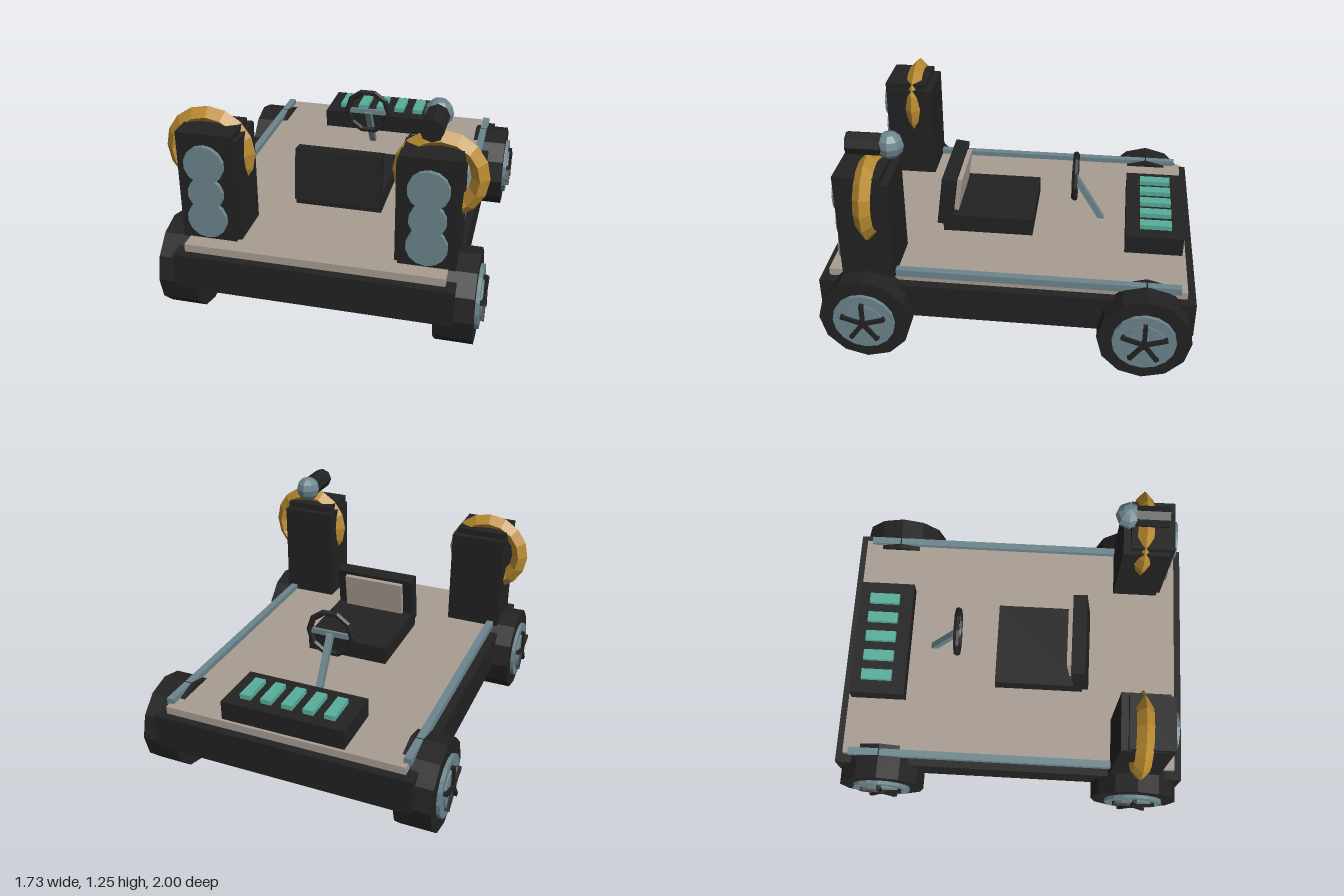
import * as THREE from 'three';

const mat = (name, color) => {
  const m = new THREE.MeshStandardMaterial({ color, flatShading: true });
  m.name = name;
  return m;
};

export function createModel() {
  const black = mat('black', 0x222222);
  const steel = mat('steel', 0x6c858d);
  const gold = mat('gold', 0xb88a30);
  const tan = mat('tan', 0xa89c92);
  const teal = mat('teal', 0x58ad9b);
  const root = new THREE.Group();
  root.name = 'cart';

  const add = (parent, name, geo, m, x = 0, y = 0, z = 0) => {
    const mesh = new THREE.Mesh(geo, m);
    mesh.name = name;
    mesh.position.set(x, y, z);
    parent.add(mesh);
    return mesh;
  };
  // Box given by its min and max corners
  const box = (parent, name, m, [x0, y0, z0], [x1, y1, z1]) =>
    add(parent, name, new THREE.BoxGeometry(x1 - x0, y1 - y0, z1 - z0), m,
      (x0 + x1) / 2, (y0 + y1) / 2, (z0 + z1) / 2);
  const group = (name, x = 0, y = 0, z = 0) => {
    const g = new THREE.Group();
    g.name = name;
    g.position.set(x, y, z);
    root.add(g);
    return g;
  };

  // Chassis and deck
  box(root, 'chassis', black, [-0.725, 0.225, -1], [0.725, 0.422, 1]);
  box(root, 'deck', tan, [-0.675, 0.42, -0.955], [0.675, 0.465, 0.955]);

  // Wheels: the local +x axis points outward
  const disc = (r, x0, x1, n) => new THREE.CylinderGeometry(r, r, x1 - x0, n)
    .rotateZ(-Math.PI / 2).translate((x0 + x1) / 2, 0, 0);
  for (const s of [1, -1]) for (const z of [0.742, -0.742]) {
    const w = group('wheel', 0, 0.248, z);
    if (s < 0) w.rotation.y = Math.PI;
    add(w, 'tyre', disc(0.248, 0.622, 0.82, 12), black);
    add(w, 'rim', disc(0.168, 0.8, 0.84, 16), steel);
    add(w, 'rimCentre', disc(0.112, 0.83, 0.848, 14), steel);
    add(w, 'hub', disc(0.024, 0.84, 0.865, 8), black);
    for (let i = 0; i < 5; i++) {
      const spoke = new THREE.BoxGeometry(0.025, 0.125, 0.023)
        .translate(0.85, 0.0625, 0).rotateX(i * Math.PI * 2 / 5);
      add(w, 'spoke', spoke, black);
    }
  }

  // Side rails, speaker towers and gold rings
  for (const s of [1, -1]) {
    add(root, 'rail', new THREE.BoxGeometry(0.04, 0.04, 1.62), steel, s * 0.67, 0.475, -0.11);
    const t = group(s > 0 ? 'leftSpeaker' : 'rightSpeaker', s * 0.565);
    const back = add(t, 'speakerBack', new THREE.BoxGeometry(0.312, 0.56, 0.26), black,
      -s * 0.009, 0.745, 0.718);
    back.position.z = 0.715;
    box(t, 'speakerFront', black, [-0.145, 0.46, 0.625], [0.145, 1.06, 0.868]);
    for (const [y, r] of [[0.897, 0.105], [0.735, 0.094], [0.59, 0.105]])
      add(t, 'speakerCone', new THREE.CylinderGeometry(r, r, 0.03, 14).rotateX(Math.PI / 2),
        steel, 0, y, 0.878);
    add(t, 'goldRing', new THREE.TorusGeometry(0.195, 0.046, 4, 16), gold, s * 0.03, 0.9, 0.705);
  }

  // Microphone on the left speaker
  const mic = group('microphone', 0.558, 1.178, 0);
  add(mic, 'micHandle', new THREE.CylinderGeometry(0.06, 0.06, 0.2, 8).rotateX(Math.PI / 2),
    black, 0, 0, 0.715);
  add(mic, 'micHead', new THREE.SphereGeometry(0.073, 8, 6), steel, 0, 0, 0.595);

  // Seat, facing the steering wheel
  box(root, 'seatBase', black, [-0.24, 0.46, -0.1], [0.24, 0.568, 0.41]);
  const seat = group('seatBack', 0, 0.65, 0.387);
  seat.rotation.x = -0.13;
  add(seat, 'backRest', new THREE.BoxGeometry(0.475, 0.292, 0.08), black);
  add(seat, 'backPad', new THREE.BoxGeometry(0.36, 0.22, 0.03), tan, 0, 0.015, -0.052);

  // Steering wheel and column
  const steer = group('steering', 0, 0.73, -0.322);
  add(steer, 'steeringWheel', new THREE.TorusGeometry(0.127, 0.018, 6, 10), black);
  add(steer, 'steeringBar', new THREE.BoxGeometry(0.24, 0.03, 0.016), steel);
  const column = add(steer, 'steeringColumn', new THREE.BoxGeometry(0.036, 0.32, 0.032), steel,
    0, -0.137, -0.08);
  column.rotation.x = 0.54;

  // Rear console with five keys
  box(root, 'console', black, [-0.346, 0.46, -0.938], [0.346, 0.573, -0.62]);
  for (let i = -2; i <= 2; i++)
    add(root, 'key', new THREE.BoxGeometry(0.06, 0.04, 0.175), teal, i * 0.119, 0.58, -0.786);

  return root;
}
